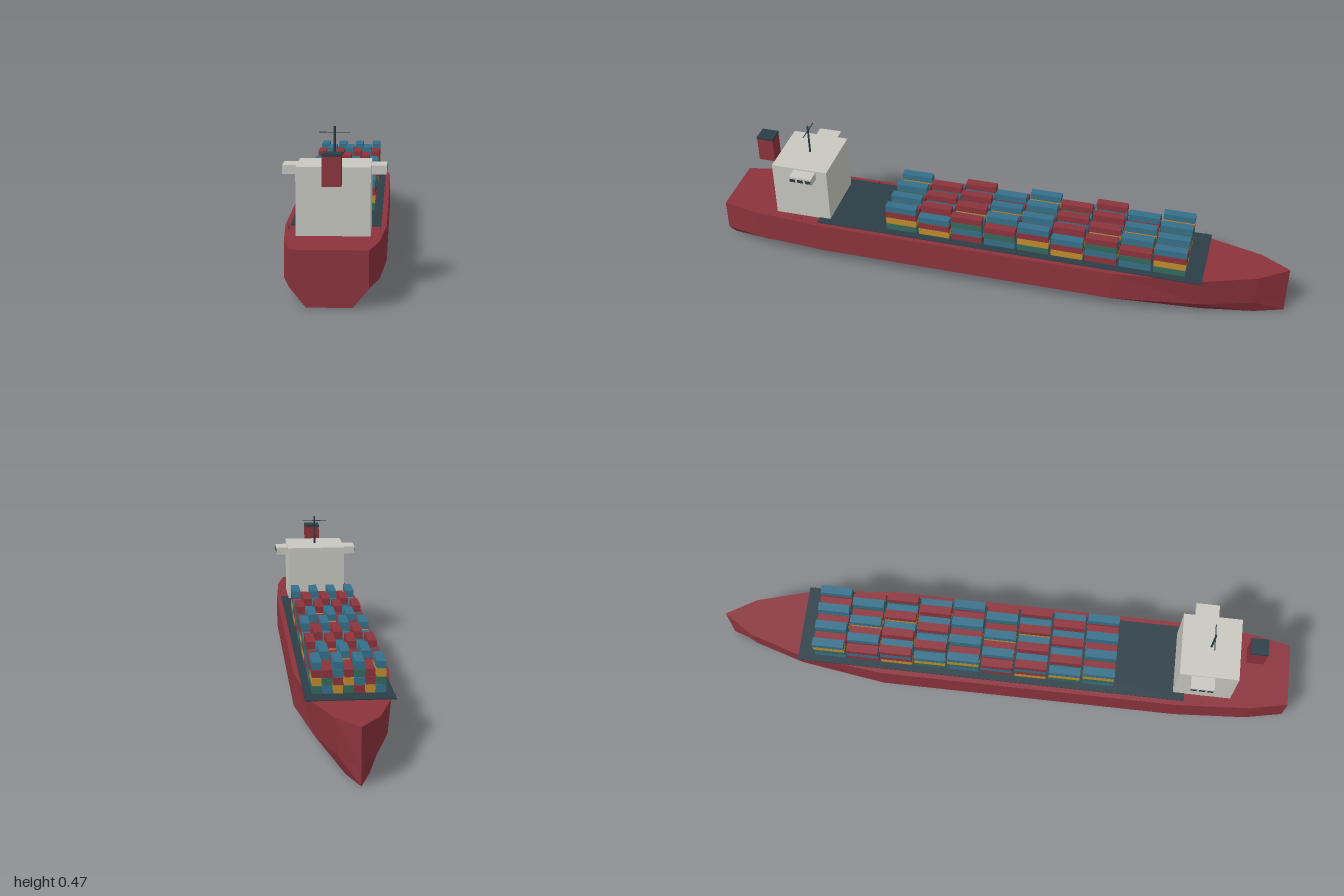
import * as THREE from 'three';

const mat = (color, extra = {}) => new THREE.MeshStandardMaterial({ color, ...extra });
const RED = mat(0x8c333c, { flatShading: true });
const DARK = mat(0x2b3e46);
const GREY = mat(0xc8c8c0);
const TEAL = mat(0x35708a), ORANGE = mat(0xc08c2c), GREEN = mat(0x35695c);

// Box given by its centre in x and z, and its base height
function box(parent, name, material, w, h, d, x, y, z) {
  const mesh = new THREE.Mesh(new THREE.BoxGeometry(w, h, d), material);
  mesh.position.set(x, y + h / 2, z);
  mesh.name = name;
  parent.add(mesh);
  return mesh;
}

// Hull lofted through chined cross-sections from stern to bow
function hullGeometry() {
  // z, deck half width, chine half width, bottom half width, deck height
  const sections = [
    [1, 0.11, 0.11, 0.065, 0.163],
    [0.87, 0.137, 0.137, 0.078, 0.163],
    [0.62, 0.154, 0.154, 0.087, 0.163],
    [-0.42, 0.154, 0.154, 0.087, 0.163],
    [-0.72, 0.12, 0.11, 0.066, 0.163],
    [-0.9, 0.065, 0.055, 0.035, 0.17],
    [-1, 0.001, 0.001, 0.001, 0.175],
  ];
  const n = 6, pos = [], index = [];
  for (const [z, top, chine, bottom, y] of sections) {
    pos.push(top, y, z, chine, 0.055, z, bottom, 0, z);
    pos.push(-bottom, 0, z, -chine, 0.055, z, -top, y, z);
  }
  for (let i = 0; i < sections.length - 1; i++) {
    for (let j = 0; j < n; j++) {
      const k = (j + 1) % n;
      const a = i * n + j, b = i * n + k, c = b + n, d = a + n;
      index.push(a, b, c, a, c, d);
    }
  }
  const last = (sections.length - 1) * n;
  for (let k = 1; k < n - 1; k++) {
    index.push(0, k + 1, k, last, last + k, last + k + 1);
  }
  const geo = new THREE.BufferGeometry();
  geo.setAttribute('position', new THREE.Float32BufferAttribute(pos, 3));
  geo.setIndex(index);
  const flat = geo.toNonIndexed();
  flat.computeVertexNormals();
  return flat;
}

// Container stacks: nine bays of seven columns, three or four tiers high
function buildCargo() {
  const cargo = new THREE.Group();
  cargo.name = 'containers';
  const lower = [TEAL, RED, ORANGE, GREEN];
  for (let bay = 0; bay < 9; bay++) {
    for (let col = 0; col < 7; col++) {
      const tiers = (bay + col) % 2 === 0 ? 4 : 3;
      for (let tier = 0; tier < tiers; tier++) {
        const topColor = (bay >> 1) + col & 1 ? RED : TEAL;
        const color = tier === tiers - 1 ? topColor : lower[(bay * 3 + col * 2 + tier * 3 + (col >> 1)) % 4];
        box(cargo, 'container', color, 0.029, 0.0238, 0.109,
          (col - 3) * 0.0327, 0.167 + tier * 0.025, 0.335 - bay * 0.1177);
      }
    }
  }
  return cargo;
}

// Accommodation block with bridge wings and mast
function buildSuperstructure() {
  const house = new THREE.Group();
  house.name = 'superstructure';
  box(house, 'accommodation', GREY, 0.218, 0.202, 0.2, 0, 0.163, 0.7);
  for (const side of [1, -1]) {
    box(house, 'bridgeWing', GREY, 0.05, 0.027, 0.08, side * 0.129, 0.333, 0.68);
    for (let i = -1; i <= 1; i++) {
      box(house, 'wingWindow', DARK, 0.002, 0.012, 0.02, side * 0.154, 0.341, 0.68 + i * 0.028);
    }
  }
  const mast = new THREE.Mesh(new THREE.CylinderGeometry(0.0035, 0.0035, 0.108, 8), DARK);
  mast.position.set(0, 0.419, 0.7);
  mast.name = 'mast';
  house.add(mast);
  box(house, 'mastCrossbar', DARK, 0.092, 0.002, 0.003, 0, 0.454, 0.7);
  return house;
}

export function createModel() {
  const ship = new THREE.Group();
  ship.name = 'containerShip';

  const hull = new THREE.Mesh(hullGeometry(), RED);
  hull.name = 'hull';
  ship.add(hull);

  // Cargo deck plate
  box(ship, 'cargoDeck', DARK, 0.274, 0.004, 1.36, 0, 0.162, -0.04);

  // Slim posts along the deck edge
  for (const side of [1, -1]) {
    for (const z of [-0.7, 0.5, 0.7]) {
      box(ship, 'deckPost', DARK, 0.0015, 0.013, 0.0015, side * 0.1365, 0.163, z);
    }
  }

  ship.add(buildCargo(), buildSuperstructure());

  // Funnel behind the accommodation
  const funnel = new THREE.Group();
  funnel.name = 'funnel';
  box(funnel, 'funnelStack', RED, 0.055, 0.087, 0.058, 0, 0.32, 0.855);
  box(funnel, 'funnelCap', DARK, 0.056, 0.008, 0.06, 0, 0.406, 0.855);
  ship.add(funnel);

  return ship;
}
